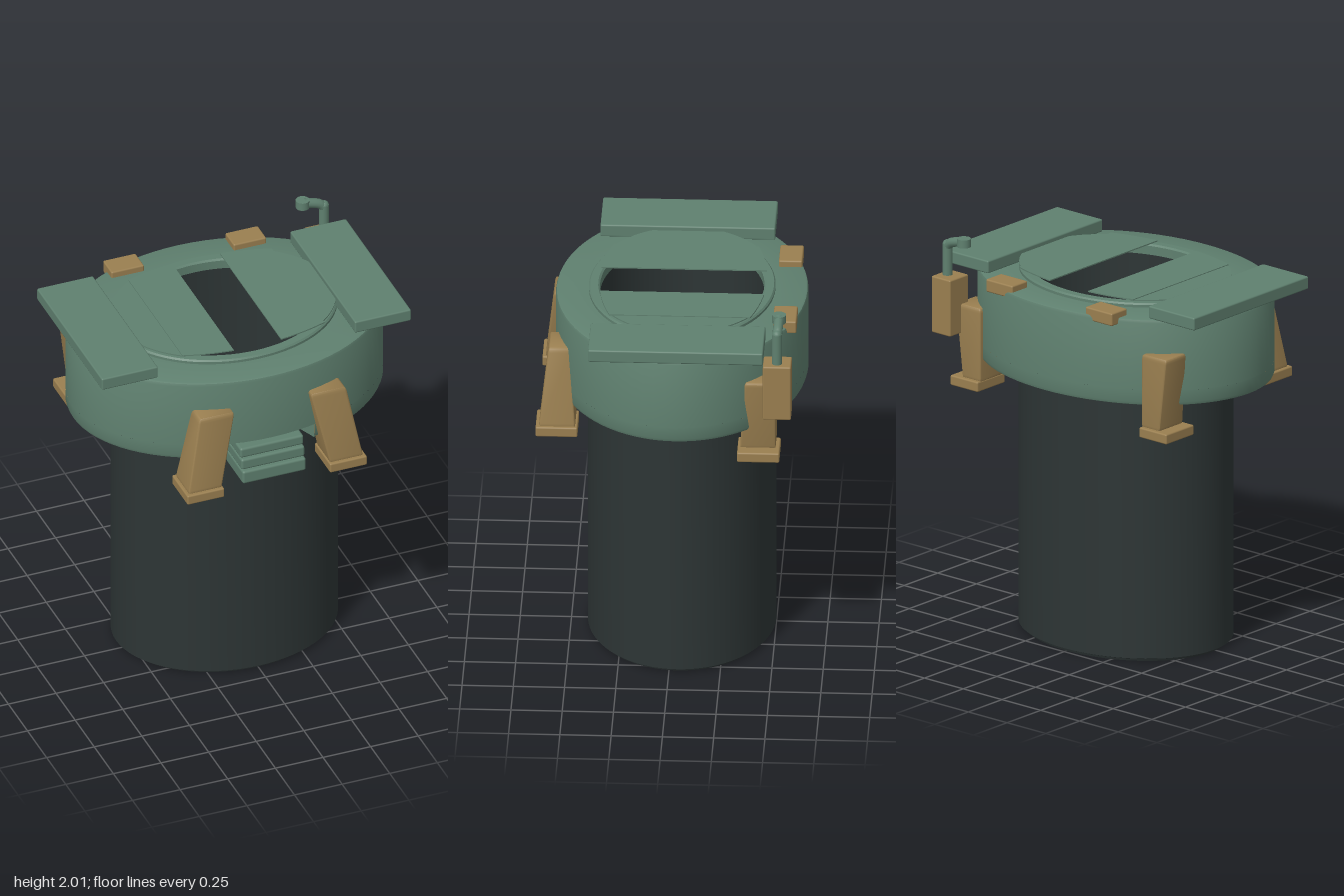
import * as THREE from 'three';
import { toCreasedNormals } from 'three/addons/utils/BufferGeometryUtils.js';
import { RoundedBoxGeometry } from 'three/addons/geometries/RoundedBoxGeometry.js';

const CZ = -0.04; // z of the silo axis

export function createModel() {
  const model = new THREE.Group();
  const mat = (name, color) => {
    const m = new THREE.MeshStandardMaterial({ color });
    m.name = name;
    return m;
  };
  const green = mat('armour green', 0x5f806f);
  const tan = mat('bracket tan', 0x9a7f50);
  const dark = mat('shaft charcoal', 0x2d3535);

  const add = (name, geometry, material) => {
    const mesh = new THREE.Mesh(geometry, material);
    mesh.name = name;
    model.add(mesh);
    return mesh;
  };
  // Elliptical turned part: profile of [unit radius, y], stretched to rx by rz
  const turned = (profile, rx, rz, start = 0, length = Math.PI * 2) => {
    const g = new THREE.LatheGeometry(profile.map(p => new THREE.Vector2(...p)), 72, start, length);
    g.scale(rx, 1, rz).translate(0, 0, CZ);
    return toCreasedNormals(g, 0.6);
  };
  // Box from its limits on each axis
  const block = (name, [x0, x1], [y0, y1], [z0, z1], material, r = 0.008) => {
    const g = new RoundedBoxGeometry(x1 - x0, y1 - y0, z1 - z0, 2, r);
    g.translate((x0 + x1) / 2, (y0 + y1) / 2, (z0 + z1) / 2);
    return add(name, g, material);
  };
  // Leaning, tapering block between a bottom and a top rectangle [x0, x1, z0, z1]
  const taper = (name, y0, y1, bottom, top, material) => {
    const g = new RoundedBoxGeometry(1, 1, 1, 2, 0.06);
    const p = g.attributes.position;
    for (let i = 0; i < p.count; i++) {
      const t = p.getY(i) + 0.5;
      const r = bottom.map((b, k) => b + (top[k] - b) * t);
      p.setXYZ(i, r[0] + (r[1] - r[0]) * (p.getX(i) + 0.5), y0 + (y1 - y0) * t,
        r[2] + (r[3] - r[2]) * (p.getZ(i) + 0.5));
    }
    return add(name, toCreasedNormals(g, 0.6), material);
  };

  // Hollow shaft with closed floor
  add('shaft', turned([
    [0, 0], [0.96, 0], [0.97, 0.012], [1, 0.018], [1, 1.82], [0.89, 1.82], [0.89, 0.06], [0, 0.06],
  ], 0.568, 0.46), dark);

  // Collar: full upper ring, lower ring open at the front for the step
  add('collarUpper', turned([
    [0.7, 1.46], [1, 1.46], [1, 1.805], [0.993, 1.818], [0.98, 1.822], [0.7, 1.822],
  ], 0.797, 0.615), green);
  const gap = 0.306;
  add('collarLower', turned([
    [0.7, 1.38], [0.975, 1.38], [0.992, 1.385], [1, 1.4], [1, 1.46],
  ], 0.797, 0.615, gap, Math.PI * 2 - gap * 2), green);
  for (const s of [-1, 1]) {
    const a = s * gap;
    const wall = new THREE.PlaneGeometry(0.29, 0.08);
    wall.rotateY(a - s * Math.PI / 2).translate(Math.sin(a) * 0.85, 1.42, Math.cos(a) * 0.85);
    wall.scale(0.797, 1, 0.615).translate(0, 0, CZ);
    wall.computeVertexNormals();
    add('notchWall', wall, green);
  }

  // Raised rim around the opening
  add('rim', turned([
    [1, 1.81], [1, 1.835], [0.985, 1.843], [0.9, 1.843], [0.88, 1.835], [0.88, 1.79],
  ], 0.565, 0.455), green);

  // Sliding hatch leaves, strips cut from an ellipse
  const leaf = (name, x0, x1, rx, rz, y) => {
    const s = new THREE.Shape();
    const n = 12;
    const edge = x => rz * Math.sqrt(Math.max(0, 1 - (x / rx) ** 2));
    for (let i = 0; i <= n; i++) {
      const x = x0 + (x1 - x0) * i / n;
      if (i) s.lineTo(x, -edge(x));
      else s.moveTo(x, -edge(x));
    }
    for (let i = n; i >= 0; i--) {
      const x = x0 + (x1 - x0) * i / n;
      s.lineTo(x, edge(x));
    }
    const g = new THREE.ExtrudeGeometry(s, { depth: 0.006, bevelEnabled: false });
    g.rotateX(-Math.PI / 2).translate(0, y, CZ - 0.005);
    add(name, g, green);
  };
  leaf('innerLeafLeft', 0.14, 0.39, 0.72, 0.408, 1.86);
  leaf('innerLeafRight', -0.36, -0.11, 0.72, 0.408, 1.86);
  leaf('outerLeafLeft', 0.375, 0.55, 0.56, 0.455, 1.856);
  leaf('outerLeafRight', -0.55, -0.345, 0.56, 0.455, 1.856);

  for (const s of [-1, 1]) {
    const span = (a, b) => (s > 0 ? [a, b] : [-b, -a]);
    // Side plates
    block('sidePlate', span(0.517, 0.812), [1.82, 1.885], [-0.47, 0.383], green);
    // Front bracket legs
    taper('frontLeg', 1.27, 1.67, [...span(0.285, 0.46), 0.46, 0.64], [...span(0.2, 0.385), 0.49, 0.595], tan);
    block('frontFoot', span(0.277, 0.472), [1.228, 1.28], [0.45, 0.655], tan);
    // Rear bracket legs
    taper('rearLeg', 1.27, 1.65, [...span(0.52, 0.635), -0.525, -0.35], [...span(0.52, 0.68), -0.525, -0.375], tan);
    block('rearFoot', span(0.52, 0.698), [1.228, 1.28], [-0.545, -0.338], tan);
    // Pads on the rear of the collar top
    block('topPad', span(0.235, 0.407), [1.79, 1.855], [-0.615, -0.5], tan);
  }

  // Front step of three bars, each further out than the one above
  [[1.385, 1.44, 0.59], [1.325, 1.385, 0.605], [1.253, 1.325, 0.622]].forEach(([y0, y1, z]) =>
    block('stepBar', [-0.168, 0.165], [y0, y1], [0.4, z], green, 0.012));

  // Periscope: housing, mast, arm and head
  block('periscopeHousing', [0.645, 0.767], [1.5, 1.79], [-0.605, -0.467], tan);
  const mast = new THREE.CylinderGeometry(0.025, 0.025, 0.17, 16);
  mast.translate(0.722, 1.865, -0.535);
  add('periscopeMast', mast, green);
  const arm = new THREE.TubeGeometry(new THREE.CatmullRomCurve3([
    new THREE.Vector3(0.722, 1.935, -0.535),
    new THREE.Vector3(0.7, 1.957, -0.537),
    new THREE.Vector3(0.615, 1.982, -0.54),
  ]), 10, 0.024, 12);
  add('periscopeArm', arm, green);
  const elbow = new THREE.SphereGeometry(0.025, 16, 10);
  elbow.translate(0.722, 1.945, -0.535);
  add('periscopeElbow', elbow, green);
  const head = new THREE.CylinderGeometry(0.034, 0.034, 0.042, 20);
  head.translate(0.612, 1.979, -0.54);
  add('periscopeHead', head, green);

  return model;
}
